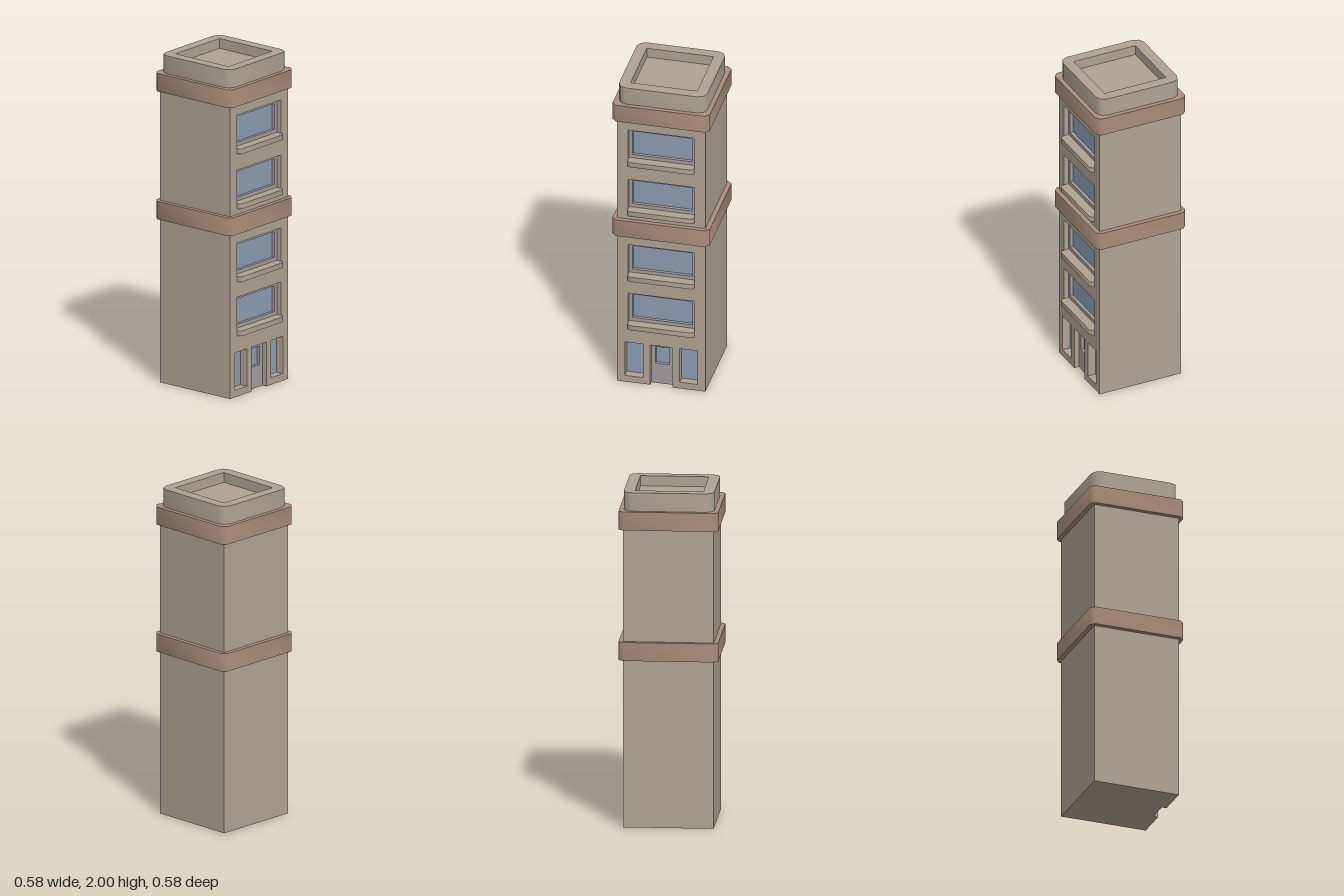
import * as THREE from 'three';
import { toCreasedNormals } from 'three/addons/utils/BufferGeometryUtils.js';

const H = 0.265; // half width of the tower
const REVEAL = 0.03; // depth from wall face to frames and door
const GLASS = 0.05; // depth from wall face to glass

const mat = (color) => new THREE.MeshStandardMaterial({ color });
const wallMat = mat(0xb0a392);
const bandMat = mat(0xab8e7b);
const frameMat = mat(0xa39d9f);
const glassMat = mat(0x8b9db1);

const poly = (pts) => new THREE.Shape(pts.map(([x, y]) => new THREE.Vector2(x, y)));
const rect = (x0, y0, x1, y1) => poly([[x0, y0], [x1, y0], [x1, y1], [x0, y1]]);

// Square outline whose corners follow a list of points in the +x +y quadrant
function cornered(corner) {
  const pts = [];
  for (let i = 0; i < 4; i++) {
    for (const [x, y] of corner) {
      pts.push([[x, y], [-y, x], [-x, -y], [y, -x]][i]);
    }
  }
  return poly(pts);
}

const extrude = (shape, depth) =>
  toCreasedNormals(new THREE.ExtrudeGeometry(shape, { depth, bevelEnabled: false }), 1);

function add(parent, name, geometry, material) {
  const mesh = new THREE.Mesh(geometry, material);
  mesh.name = name;
  parent.add(mesh);
  return mesh;
}

// Shape extruded towards the front, with its front face at z
const upright = (shape, depth, z) => extrude(shape, depth).translate(0, 0, z - depth);

// Shape seen from above, extruded upwards from y0 to y1
const lying = (shape, y0, y1) => extrude(shape, y1 - y0).rotateX(-Math.PI / 2).translate(0, y0, 0);

function pane(parent, name, x0, y0, x1, y1) {
  const g = new THREE.PlaneGeometry(x1 - x0, y1 - y0);
  g.translate((x0 + x1) / 2, (y0 + y1) / 2, H - GLASS + 0.001);
  add(parent, name, g, glassMat);
}

export function createModel() {
  const model = new THREE.Group();
  const floors = [0.37, 0.7, 1.145, 1.48];
  const doorHalf = 0.067;
  const doorTop = 0.27;

  // Solid core behind the front wall
  const core = new THREE.BoxGeometry(2 * H, 1.89, 2 * H - GLASS);
  add(model, 'towerCore', core.translate(0, 0.945, -GLASS / 2), wallMat);

  // Front wall with door notch and window openings
  const wall = poly([
    [-H, 0], [-doorHalf, 0], [-doorHalf, doorTop], [doorHalf, doorTop],
    [doorHalf, 0], [H, 0], [H, 1.89], [-H, 1.89],
  ]);
  for (const y of floors) wall.holes.push(rect(-0.2, y, 0.2, y + 0.235));
  for (const s of [-1, 1]) {
    wall.holes.push(rect(s * 0.165 - 0.054, 0.042, s * 0.165 + 0.054, doorTop));
  }
  add(model, 'frontWall', upright(wall, GLASS, H), wallMat);

  // Upper windows: frame, glass and projecting sill
  for (const y of floors) {
    const win = new THREE.Group();
    win.name = 'window';
    const frame = rect(-0.2, y, 0.2, y + 0.235);
    frame.holes.push(rect(-0.18, y + 0.055, 0.18, y + 0.212));
    add(win, 'windowFrame', upright(frame, GLASS - REVEAL, H - REVEAL), frameMat);
    pane(win, 'windowGlass', -0.18, y + 0.055, 0.18, y + 0.212);
    const sill = poly([
      [-0.2, -0.235], [-0.2, -0.278], [-0.185, -0.292],
      [0.185, -0.292], [0.2, -0.278], [0.2, -0.235],
    ]);
    add(win, 'windowSill', lying(sill, y, y + 0.032), wallMat);
    model.add(win);
  }

  // Ground floor side windows
  for (const s of [-1, 1]) {
    pane(model, 'sideWindowGlass', s * 0.165 - 0.054, 0.042, s * 0.165 + 0.054, doorTop);
  }

  // Door with a small light
  const door = rect(-doorHalf, 0, doorHalf, doorTop);
  door.holes.push(rect(-0.041, 0.133, 0.041, 0.246));
  add(model, 'door', upright(door, GLASS - REVEAL, H - REVEAL), frameMat);
  pane(model, 'doorGlass', -0.041, 0.133, 0.041, 0.246);

  // Chamfered bands around the tower
  const bandShape = cornered([[0.292, 0.266], [0.266, 0.292]]);
  for (const y of [1.0, 1.78]) add(model, 'band', lying(bandShape, y, y + 0.11), bandMat);

  // Parapet with rounded corners around a sunken roof
  const corner = [[H, 0.215], [0.25, 0.25], [0.215, H]];
  const parapet = cornered(corner);
  parapet.holes.push(rect(-0.2, -0.2, 0.2, 0.2));
  add(model, 'parapet', lying(parapet, 1.89, 2), wallMat);
  const roof = new THREE.BoxGeometry(0.4, 0.05, 0.4);
  add(model, 'roof', roof.translate(0, 1.915, 0), wallMat);

  return model;
}
